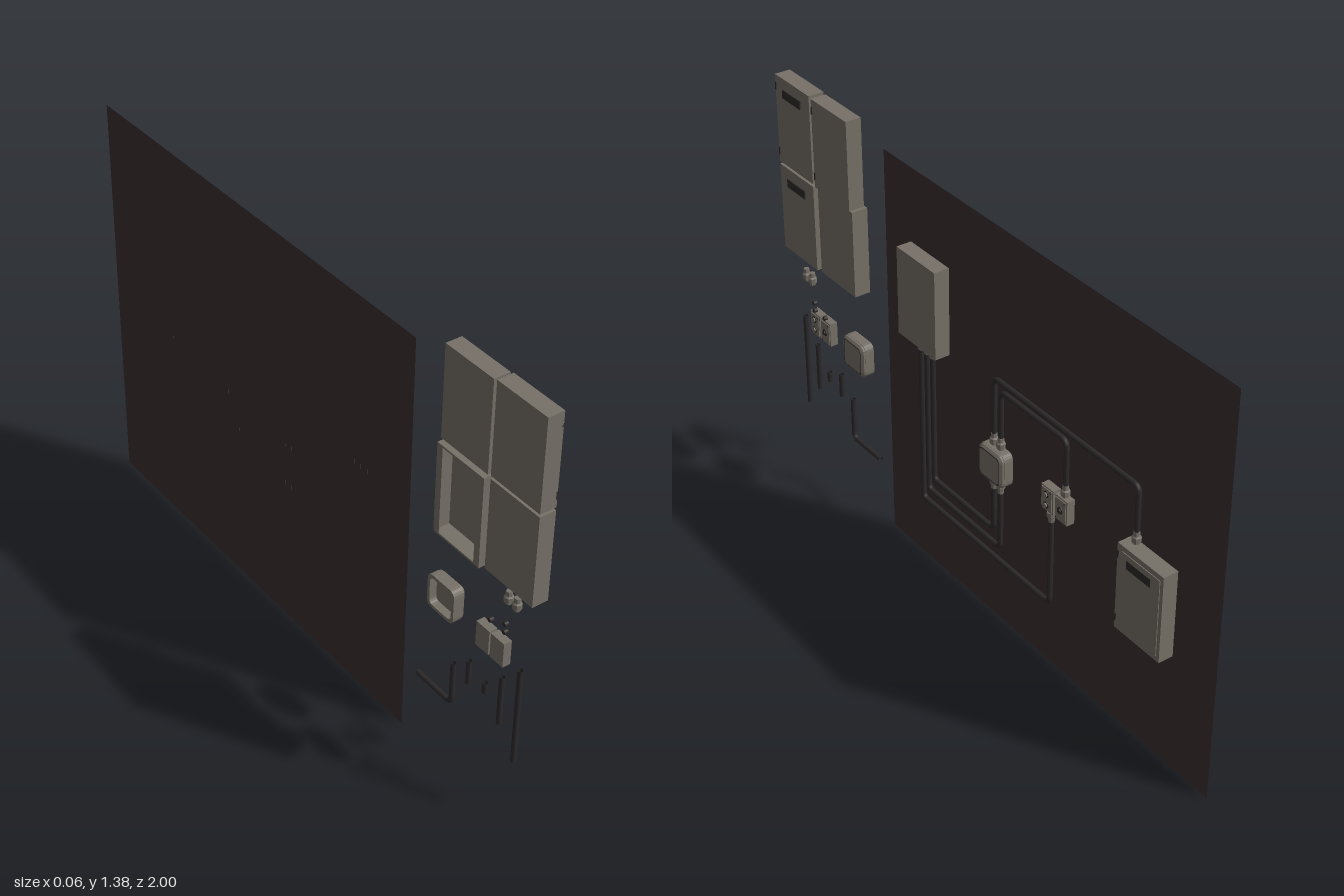
import * as THREE from 'three';

const mat = (name, color) => {
  const m = new THREE.MeshStandardMaterial({ color, side: THREE.DoubleSide });
  m.name = name;
  return m;
};

export function createModel() {
  const grey = mat('warm grey enclosure', 0x777168);
  const wallDark = mat('dark wall', 0x3b2f31);
  const pipeDark = mat('dark conduit', 0x2d292b);
  const trim = mat('dark trim', 0x2f2b29);

  // Everything is laid out facing local +z, then turned to face +x.
  const board = new THREE.Group();
  board.name = 'electricalBoard';
  board.rotation.y = Math.PI / 2;

  function add(parent, name, geo, material, x = 0, y = 0, z = 0) {
    const m = new THREE.Mesh(geo, material);
    m.name = name;
    m.position.set(x, y, z);
    parent.add(m);
    return m;
  }
  function group(name, x, y, z = 0) {
    const g = new THREE.Group();
    g.name = name;
    g.position.set(x, y, z);
    board.add(g);
    return g;
  }
  const box = (w, h, d) => new THREE.BoxGeometry(w, h, d);

  // Square outline with rounded corners
  function roundedSquare(h, r, P = THREE.Shape) {
    const s = new P();
    s.moveTo(-h + r, -h);
    s.lineTo(h - r, -h); s.quadraticCurveTo(h, -h, h, -h + r);
    s.lineTo(h, h - r); s.quadraticCurveTo(h, h, h - r, h);
    s.lineTo(-h + r, h); s.quadraticCurveTo(-h, h, -h, h - r);
    s.lineTo(-h, -h + r); s.quadraticCurveTo(-h, -h, -h + r, -h);
    return s;
  }

  // Cabinet: x is its left edge, y its bottom, back..front its depth range
  const W = 0.186, H = 0.286;
  function cabinet(name, x, y, back, front, { label, hinges, door, open } = {}) {
    const g = group(name, x + W / 2, y + H / 2);
    const d = front - back, mid = (front + back) / 2, t = 0.006;
    if (open) {
      add(g, 'frontPanel', box(W, H, t), grey, 0, 0, front - t / 2);
      for (const s of [-1, 1]) {
        add(g, 'sideWall', box(t, H, d - t), grey, s * (W - t) / 2, 0, mid - t / 2);
        add(g, 'endWall', box(W - 2 * t, t, d - t), grey, 0, s * (H - t) / 2, mid - t / 2);
        add(g, 'sideLip', box(0.016, H - 2 * t, 0.003), grey, s * (W / 2 - t - 0.008), 0, back + 0.0015);
      }
    } else {
      add(g, 'body', box(W, H, d), grey, 0, 0, mid);
    }
    if (door) add(g, 'door', box(W - 0.034, H - 0.034, 0.003), grey, 0.005, 0, front + 0.001);
    if (label) add(g, 'ventSlot', box(0.098, 0.027, 0.004), trim, -0.004, H / 2 - 0.049, front + 0.001);
    if (hinges) for (const hy of [0.107, -0.107])
      add(g, 'hinge', box(0.006, 0.024, 0.006), trim, -W / 2 + 0.003, hy, front - 0.001);
  }
  cabinet('labelledCabinet', -1, 1.093, -0.022, 0.029, { label: true, hinges: true });
  cabinet('hingedCabinet', -0.803, 1.089, -0.022, 0.029, { hinges: true });
  cabinet('doorCabinet', -1, 0.798, -0.022, 0.029, { label: true });
  cabinet('openCabinet', -0.803, 0.795, -0.033, 0.02, { open: true });
  cabinet('wallSupplyCabinet', -0.371, 0.801, -0.0195, 0.03);
  cabinet('wallDoorCabinet', 0.643, 0.384, -0.0195, 0.029, { label: true, hinges: true, door: true });

  // Wall sheet
  add(board, 'wall', new THREE.PlaneGeometry(1.5, 1.325), wallDark, 0.25, 0.6625, -0.02);

  // Junction boxes: hollow rounded shell with a stepped lid
  function junctionBox(name, x, y) {
    const g = group(name, x, y, -0.0195);
    const shell = roundedSquare(0.056, 0.022);
    shell.holes.push(roundedSquare(0.046, 0.016, THREE.Path));
    add(g, 'shell', new THREE.ExtrudeGeometry(shell, { depth: 0.03, bevelEnabled: false, curveSegments: 4 }), grey);
    const lid = new THREE.ExtrudeGeometry(roundedSquare(0.048, 0.016), {
      depth: 0.006, bevelThickness: 0.006, bevelSize: 0.007, bevelSegments: 1, curveSegments: 4 });
    add(g, 'lid', lid, grey, 0, 0, 0.03);
    const rim = roundedSquare(0.046, 0.012);
    rim.holes.push(roundedSquare(0.043, 0.011, THREE.Path));
    add(g, 'lidSeam', new THREE.ShapeGeometry(rim, 4), trim, 0, 0, 0.0425);
  }
  junctionBox('wallJunctionBox', 0.064, 0.573);
  junctionBox('spareJunctionBox', -0.643, 0.573);

  const disc = (r, h) => new THREE.CylinderGeometry(r, r, h, 12).rotateX(Math.PI / 2);

  // Switch plates with round sockets or a single toggle
  function switchPlate(name, x, y, sockets) {
    const g = group(name, x, y, -0.0195);
    add(g, 'plate', box(0.053, 0.08, 0.026), grey, 0, 0, 0.013);
    add(g, 'face', box(0.044, 0.07, 0.004), grey, 0, 0, 0.027);
    for (const sy of sockets) {
      add(g, 'socketRing', disc(0.011, 0.004), trim, 0, sy, 0.029);
      add(g, 'button', disc(0.007, 0.008), sockets.length > 1 ? grey : trim, 0, sy, 0.031);
    }
    for (const s of [-1, 1]) add(g, 'screw', disc(0.003, 0.003), trim, s * 0.018, s * 0.031, 0.029);
  }
  switchPlate('wallDoubleSwitch', 0.312, 0.6, [0.018, -0.018]);
  switchPlate('wallSingleSwitch', 0.374, 0.6, [0]);
  switchPlate('spareDoubleSwitch', -0.879, 0.565, [0.018, -0.018]);
  switchPlate('spareSingleSwitch', -0.82, 0.565, [0]);
  for (const [x, y] of [[-0.878, 0.643], [-0.878, 0.616], [-0.82, 0.616]])
    add(board, 'spareButton', disc(0.007, 0.012), trim, x, y, 0.006);

  // Cable glands: hex nut and tapering neck; dir is the way the neck points
  const glandGeo = new THREE.LatheGeometry(
    [[0, 0], [0.009, 0], [0.009, 0.008], [0.0135, 0.008], [0.0135, 0.024], [0.01, 0.028], [0.009, 0.042], [0, 0.042]]
      .map(p => new THREE.Vector2(...p)), 8).toNonIndexed();
  glandGeo.computeVertexNormals();
  const PZ = -0.007;
  function gland(x, y, dir, z = PZ) {
    const m = add(board, 'cableGland', glandGeo, grey, x, y, z);
    if (dir < 0) m.rotation.x = Math.PI;
  }
  for (const x of [-0.311, -0.282, -0.252]) gland(x, 0.803, -1);
  for (const x of [0.048, 0.08]) {
    gland(x, 0.519, -1);
    gland(x, 0.627, 1);
  }
  gland(0.316, 0.562, -1);
  gland(0.375, 0.638, 1);
  gland(0.675, 0.668, 1);
  for (const x of [-0.911, -0.878]) gland(x, 0.711, 1, 0.01);

  // Conduits: straight runs joined by rounded bends
  function conduit(name, pts, bend = 0.022) {
    const v = pts.map(([x, y]) => new THREE.Vector3(x, y, PZ));
    const path = new THREE.CurvePath();
    let from = v[0];
    for (let i = 1; i < v.length - 1; i++) {
      const a = v[i].clone().add(v[i - 1].clone().sub(v[i]).setLength(bend));
      const b = v[i].clone().add(v[i + 1].clone().sub(v[i]).setLength(bend));
      path.add(new THREE.LineCurve3(from, a));
      path.add(new THREE.QuadraticBezierCurve3(a, v[i], b));
      from = b;
    }
    path.add(new THREE.LineCurve3(from, v[v.length - 1]));
    const steps = v.length > 2 ? Math.ceil(path.getLength() / 0.006) : 1;
    add(board, name, new THREE.TubeGeometry(path, steps, 0.008, 10), pipeDark);
  }
  conduit('outerConduit', [[-0.311, 0.79], [-0.311, 0.23], [0.316, 0.23], [0.316, 0.55]]);
  conduit('middleConduit', [[-0.282, 0.79], [-0.282, 0.279], [0.08, 0.279], [0.08, 0.51]]);
  conduit('innerConduit', [[-0.252, 0.79], [-0.252, 0.33], [0.048, 0.33], [0.048, 0.51]]);
  conduit('upperConduit', [[0.048, 0.64], [0.048, 0.853], [0.675, 0.853], [0.675, 0.68]]);
  conduit('switchConduit', [[0.08, 0.64], [0.08, 0.824], [0.375, 0.824], [0.375, 0.65]]);

  // Spare conduit pieces
  for (const [x, top, bottom] of [[-0.961, 0.552, 0.225], [-0.894, 0.477, 0.311], [-0.83, 0.407, 0.373], [-0.761, 0.435, 0.354]])
    conduit('spareConduit', [[x, top], [x, bottom]]);
  conduit('spareElbow', [[-0.697, 0.377], [-0.697, 0.231], [-0.547, 0.231]]);

  const root = new THREE.Group();
  root.name = 'model';
  root.add(board);
  return root;
}
